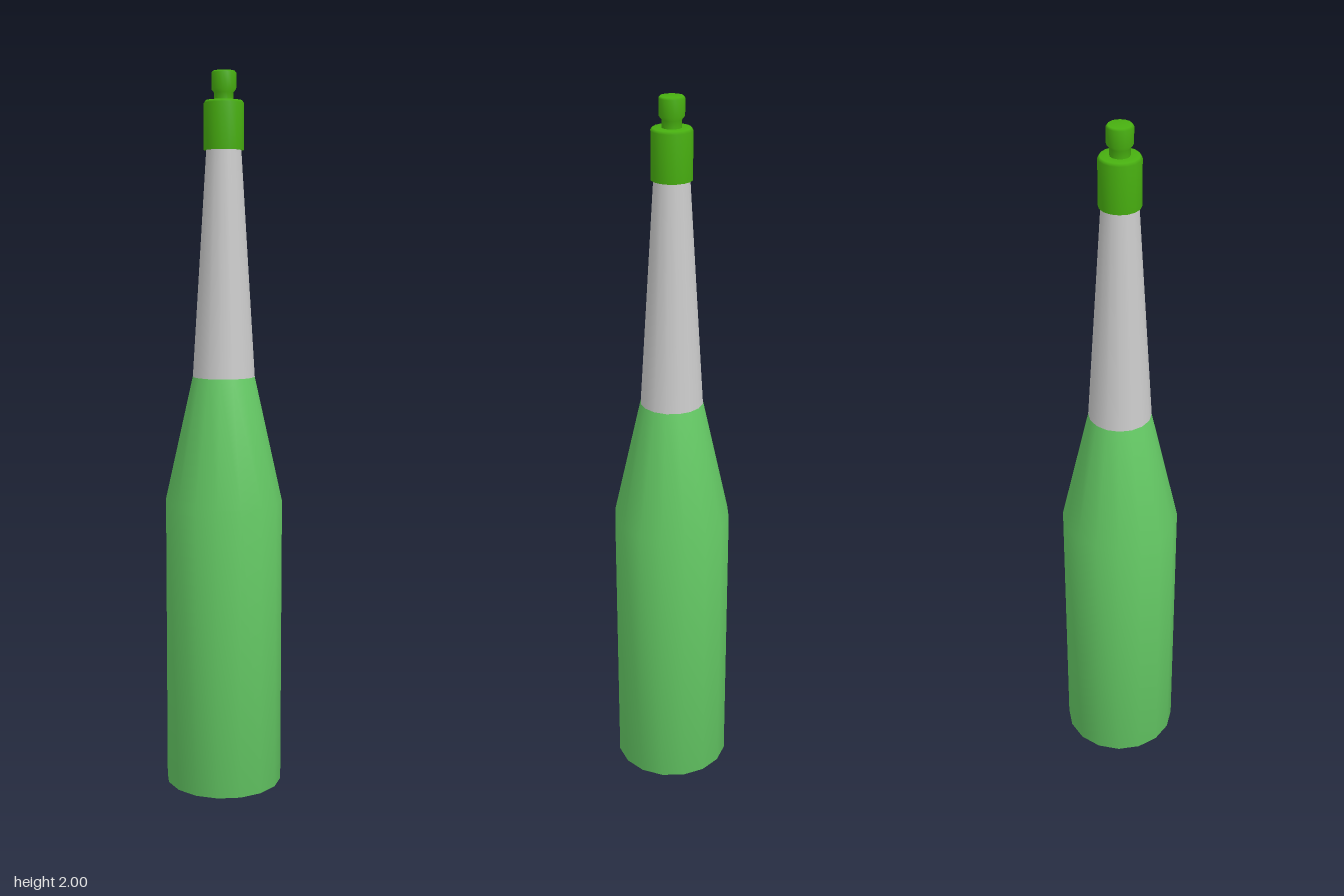
import * as THREE from 'three';

const SIDES = 16;

// Turned part from [radius, height] pairs listed bottom to top
function turned(name, color, profile) {
  const points = profile.map(([r, y]) => new THREE.Vector2(r, y));
  const mesh = new THREE.Mesh(
    new THREE.LatheGeometry(points, SIDES),
    new THREE.MeshStandardMaterial({ color, side: THREE.DoubleSide })
  );
  mesh.name = name;
  return mesh;
}

export function createModel() {
  const bottle = new THREE.Group();
  bottle.name = 'bottle';

  // Body with closed base and sloping shoulder
  bottle.add(turned('body', 0x66cc66, [[0, 0], [0.165, 0], [0.165, 0.82], [0.087, 1.17]]));

  // Long tapered neck
  bottle.add(turned('neck', 0xcccccc, [[0.087, 1.17], [0.048, 1.795]]));

  // Collar around the mouth, with a slightly rounded top edge
  bottle.add(turned('collar', 0x48b010, [
    [0.045, 1.79], [0.055, 1.79], [0.055, 1.915], [0.05, 1.922], [0.026, 1.922],
  ]));

  // Stopper: thin stem and wider knob
  bottle.add(turned('stopper', 0x48b010, [
    [0.026, 1.92], [0.026, 1.942], [0.034, 1.952], [0.034, 1.995], [0.03, 2], [0, 2],
  ]));

  return bottle;
}
